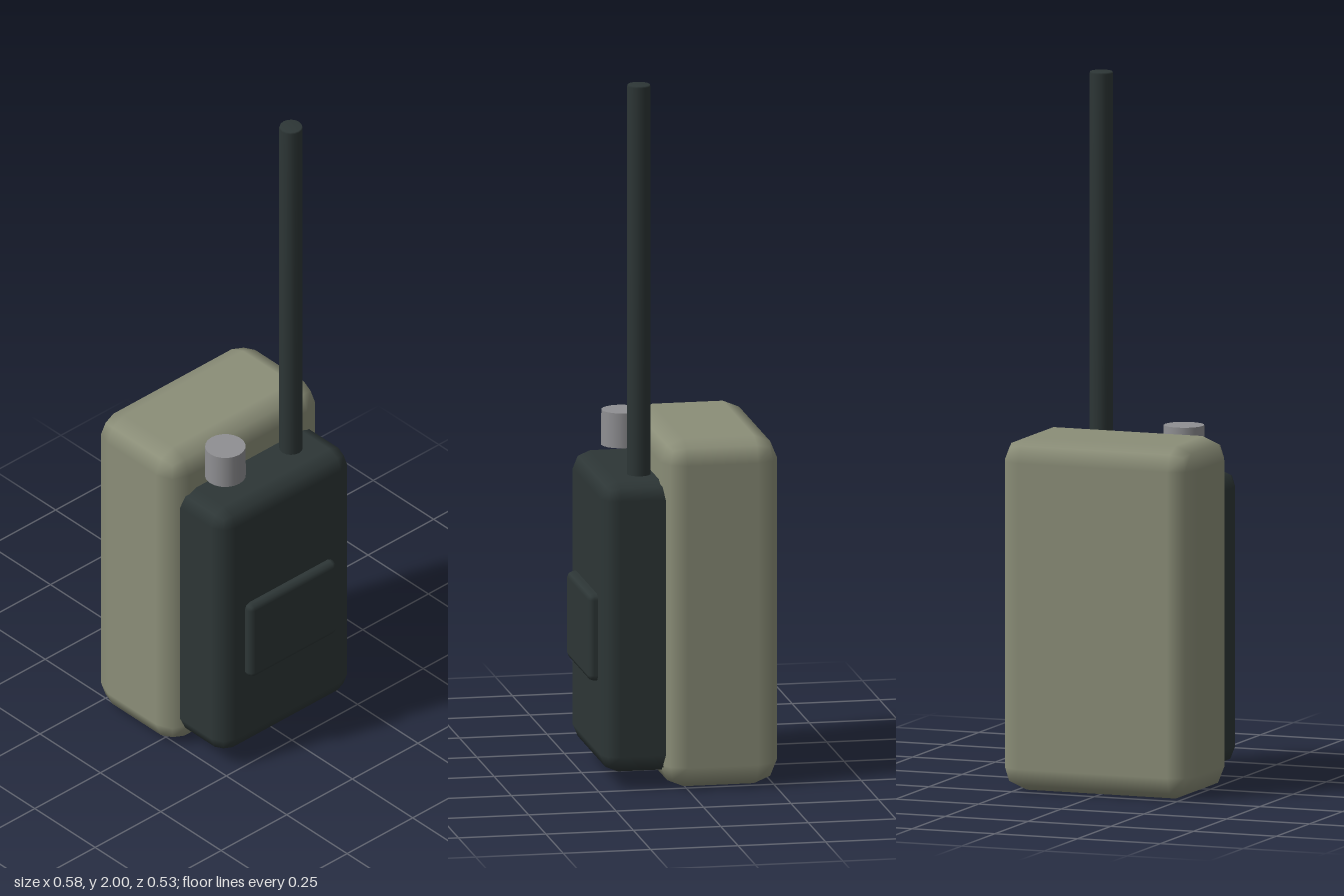
import * as THREE from 'three';
import { RoundedBoxGeometry } from 'three/addons/geometries/RoundedBoxGeometry.js';

function flat(name, color) {
  const m = new THREE.MeshStandardMaterial({ color });
  m.name = name;
  return m;
}

export function createModel() {
  const model = new THREE.Group();
  model.name = 'handheldRadio';
  const olive = flat('olive', 0x8b8e78);
  const charcoal = flat('charcoal', 0x2d3636);
  const grey = flat('grey', 0x8f8f92);

  function add(name, geometry, material, x, y, z) {
    const mesh = new THREE.Mesh(geometry, material);
    mesh.name = name;
    mesh.position.set(x, y, z);
    model.add(mesh);
  }

  // Box with softened edges, given by its lower and upper corners
  function softBox(name, material, [x0, y0, z0], [x1, y1, z1], radius) {
    const g = new RoundedBoxGeometry(x1 - x0, y1 - y0, z1 - z0, 1, radius);
    add(name, g, material, (x0 + x1) / 2, (y0 + y1) / 2, (z0 + z1) / 2);
  }

  // Carrying case, radio body and raised front panel
  softBox('case', olive, [-0.291, 0, -0.264], [0.291, 1, 0.069], 0.066);
  softBox('radioBody', charcoal, [-0.25, 0.045, 0], [0.25, 0.88, 0.236], 0.05);
  softBox('frontPanel', charcoal, [-0.166, 0.297, 0.212], [0.166, 0.547, 0.262], 0.017);

  // Tuning knob, hovering just above the body
  add('knob', new THREE.CylinderGeometry(0.057, 0.058, 0.1, 20), grey, -0.126, 0.961, 0.111);

  // Antenna with a smooth-shaded tip
  const profile = [[0, 0.8], [0.033, 0.8], [0.033, 1.995], [0.031, 2], [0, 2]];
  const antenna = new THREE.LatheGeometry(profile.map(([r, y]) => new THREE.Vector2(r, y)), 16);
  add('antenna', antenna, charcoal, 0.124, 0, 0.111);

  return model;
}
